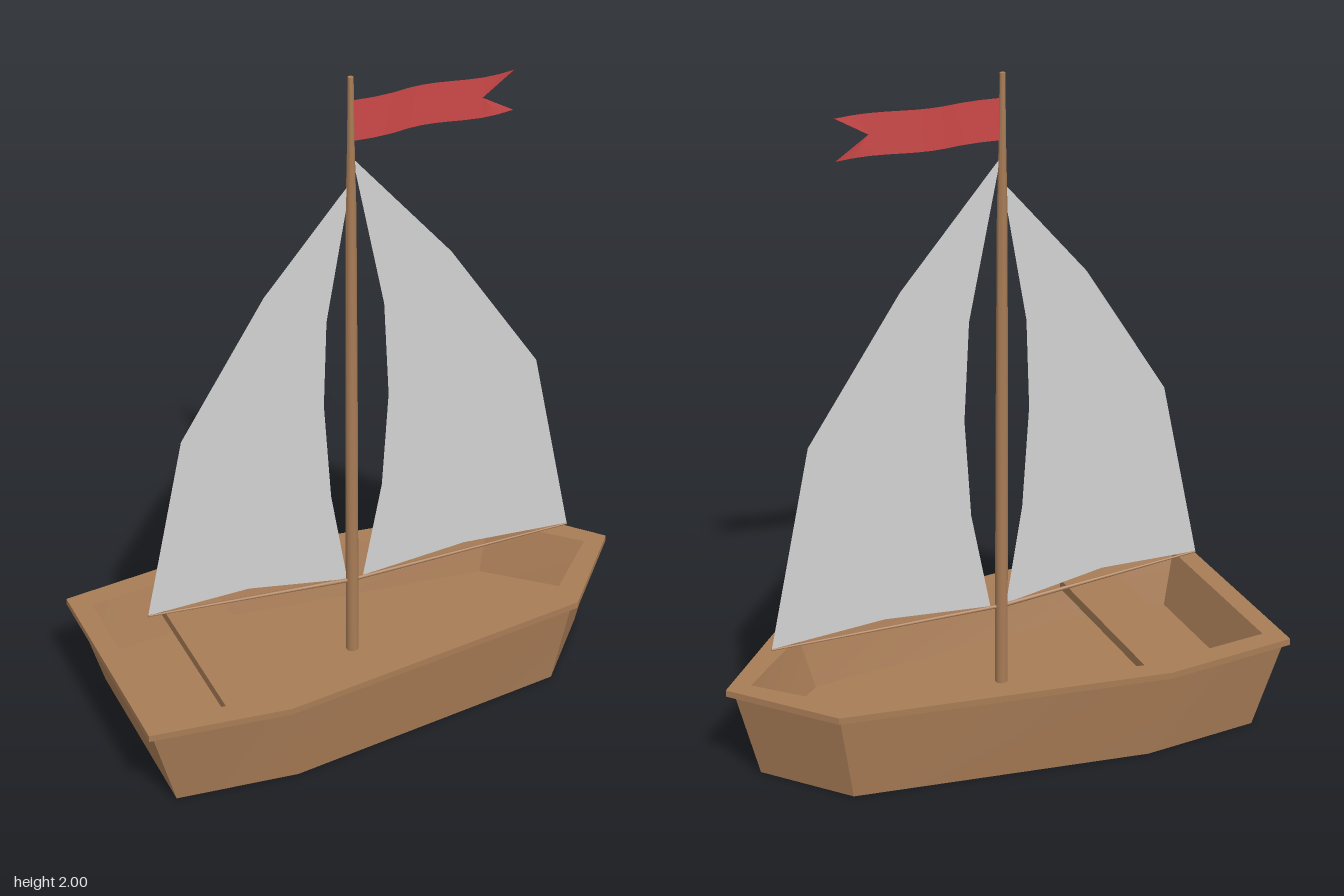
import * as THREE from 'three';
import { toCreasedNormals } from 'three/addons/utils/BufferGeometryUtils.js';

const MAST_X = -0.045, MAST_Z = 0.012;

// Full ring at height y from the +z half outline, mirrored across z = 0
function ring(y, half) {
  const near = half.map(([x, z]) => [x, y, z]);
  const far = half.filter(([, z]) => z > 0).reverse().map(([x, z]) => [x, y, -z]);
  return [...near, ...far];
}

// Skin a sequence of rings and close the first (downward) and last (upward)
function loft(rings) {
  const pos = [], n = rings[0].length;
  const tri = (a, b, c) => pos.push(...a, ...b, ...c);
  for (let r = 0; r < rings.length - 1; r++) {
    for (let i = 0; i < n; i++) {
      const j = (i + 1) % n, a = rings[r], b = rings[r + 1];
      tri(a[i], a[j], b[j]);
      tri(a[i], b[j], b[i]);
    }
  }
  const first = rings[0], last = rings[rings.length - 1];
  for (let i = 1; i < n - 1; i++) {
    tri(first[0], first[i + 1], first[i]);
    tri(last[0], last[i], last[i + 1]);
  }
  const g = new THREE.BufferGeometry();
  g.setAttribute('position', new THREE.Float32BufferAttribute(pos, 3));
  return toCreasedNormals(g, 0.5);
}

// Tapered spar between two points
function spar(from, to, r0, r1) {
  const a = new THREE.Vector3(...from), b = new THREE.Vector3(...to);
  const dir = b.clone().sub(a);
  const g = new THREE.CylinderGeometry(r1, r0, dir.length(), 8);
  g.applyQuaternion(new THREE.Quaternion().setFromUnitVectors(new THREE.Vector3(0, 1, 0), dir.normalize()));
  const mid = a.add(b).multiplyScalar(0.5);
  return g.translate(mid.x, mid.y, mid.z);
}

// Flat sail from its outline
function sail(points) {
  const shape = new THREE.Shape(points.map(([x, y]) => new THREE.Vector2(x, y)));
  return new THREE.ShapeGeometry(shape).translate(0, 0, MAST_Z);
}

// Waving swallow-tailed pennant: three rows, the middle one stops at the notch
function pennant() {
  const xs = [-0.035, 0.02, 0.08, 0.13, 0.17, 0.21, 0.25, 0.29, 0.34, 0.39, 0.44];
  const rows = [1.93, 1.87, 1.81], pos = [], idx = [];
  for (const x of xs) {
    rows.forEach((y, r) => {
      const px = r === 1 ? Math.min(x, 0.34) : x;
      const wave = -0.013 * Math.sin((px + 0.035) * 17 - 1.9) * Math.min(1, (px + 0.035) * 6);
      pos.push(px, y, 0.01 + wave);
    });
  }
  for (let i = 0; i < xs.length - 1; i++) {
    for (let r = 0; r < 2; r++) {
      const a = i * 3 + r, b = a + 1, c = a + 3, d = a + 4;
      if (r === 0) idx.push(a, b, c, c, b, d);
      else idx.push(a, b, d, a, d, c);
      if (r === 1) idx.splice(-6, 6, a, b, c, c, b, d);
    }
  }
  const g = new THREE.BufferGeometry();
  g.setAttribute('position', new THREE.Float32BufferAttribute(pos, 3));
  g.setIndex(idx);
  g.computeVertexNormals();
  return g;
}

export function createModel() {
  const model = new THREE.Group();
  model.name = 'sailboat';
  const mat = (name, color, side = THREE.FrontSide) => {
    const m = new THREE.MeshStandardMaterial({ color, side });
    m.name = name;
    return m;
  };
  const wood = mat('wood', 0xa87c56);
  const canvas = mat('sail cloth', 0xd2d2d2, THREE.DoubleSide);
  const red = mat('pennant red', 0xcc4848, THREE.DoubleSide);
  const add = (name, geometry, material) => {
    const mesh = new THREE.Mesh(geometry, material);
    mesh.name = name;
    model.add(mesh);
  };

  // Hull: outside up to the rim, over it and down to the inner floor
  const rimOuter = [[-0.81, 0.355], [-0.40, 0.403], [0.57, 0.275], [0.81, 0]];
  const rimInner = [[-0.75, 0.295], [-0.375, 0.335], [0.515, 0.22], [0.735, 0]];
  add('hull', loft([
    ring(0, [[-0.72, 0.305], [-0.36, 0.345], [0.515, 0.23], [0.715, 0]]),
    ring(0.27, [[-0.795, 0.34], [-0.395, 0.383], [0.56, 0.255], [0.785, 0]]),
    ring(0.27, rimOuter),
    ring(0.29, rimOuter),
    ring(0.29, rimInner),
    ring(0.13, [[-0.705, 0.258], [-0.37, 0.29], [0.475, 0.19], [0.685, 0]]),
  ]), wood);

  // Bench across the stern
  const bench = [[-0.55, 0.318], [-0.375, 0.334]];
  add('bench', loft([ring(0.225, bench), ring(0.255, bench)]), wood);

  // Mast, slimmer towards the top
  const mast = [[0, 0.12], [0.019, 0.12], [0.018, 0.9], [0.015, 1.6], [0.010, 1.82], [0.008, 2], [0, 2]];
  add('mast', toCreasedNormals(
    new THREE.LatheGeometry(mast.map(([r, y]) => new THREE.Vector2(r, y)), 12)
      .translate(MAST_X, 0, MAST_Z), 0.8), wood);

  // Booms under the sails
  add('sternBoom', spar([MAST_X, 0.38, MAST_Z], [-0.68, 0.434, MAST_Z], 0.007, 0.003), wood);
  add('bowBoom', spar([MAST_X, 0.38, MAST_Z], [0.665, 0.383, MAST_Z], 0.006, 0.003), wood);

  // Sails
  add('bowSail', sail([
    [-0.04, 1.76], [0.26, 1.41], [0.54, 0.99], [0.665, 0.385], [0.32, 0.41],
    [-0.01, 0.385], [0.05, 0.69], [0.07, 0.99], [0.055, 1.29],
  ]), canvas);
  add('sternSail', sail([
    [-0.045, 1.69], [-0.305, 1.39], [-0.56, 0.99], [-0.68, 0.435], [-0.37, 0.44],
    [-0.06, 0.385], [-0.11, 0.69], [-0.13, 1.0], [-0.12, 1.27],
  ]), canvas);

  add('pennant', pennant(), red);
  return model;
}
